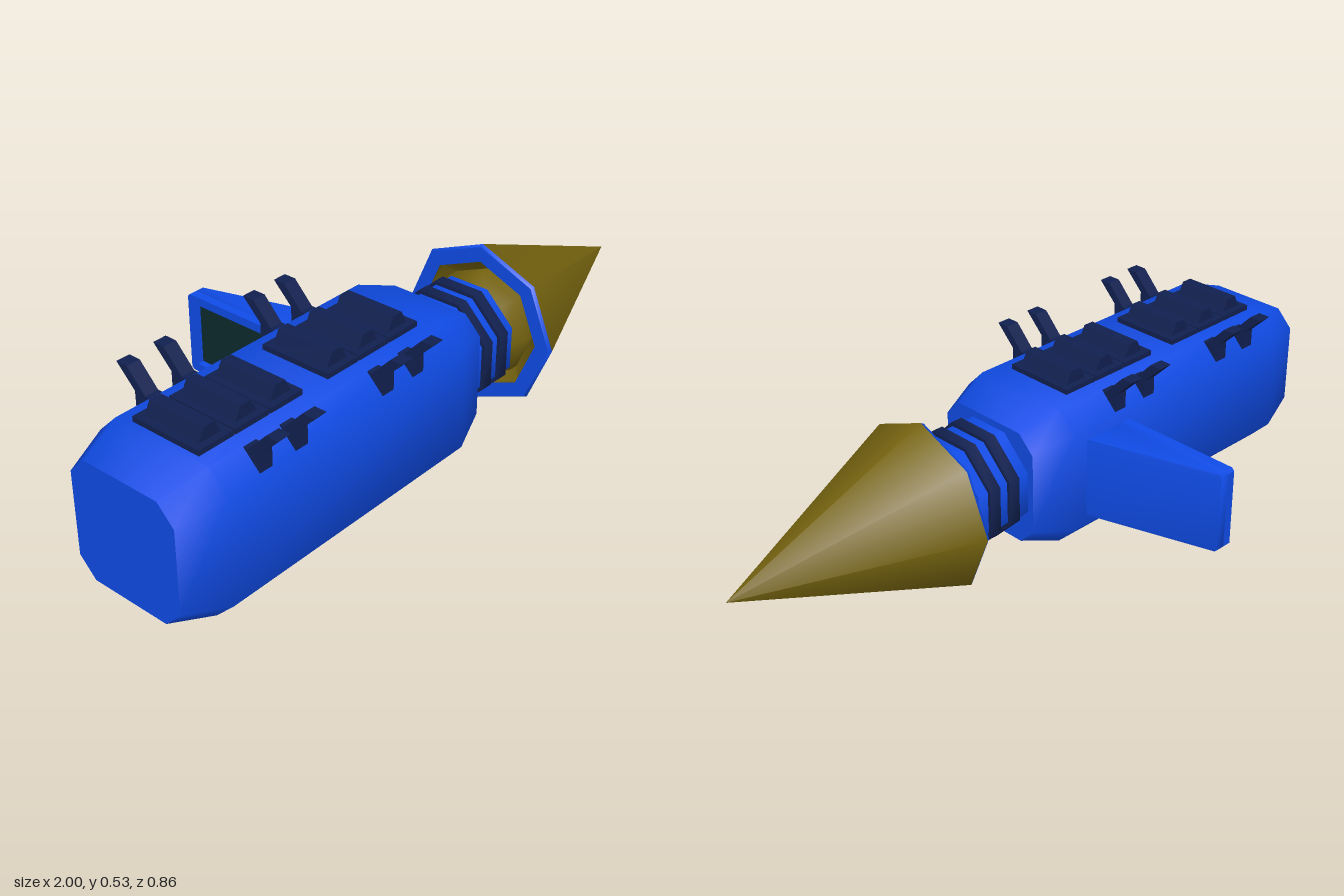
import * as THREE from 'three';
import { toCreasedNormals } from 'three/addons/utils/BufferGeometryUtils.js';

const CY = 0.254, CZ = 0.165; // long axis of the arm

const blue = new THREE.MeshStandardMaterial({ color: 0x0f4be6 });
const navy = new THREE.MeshStandardMaterial({ color: 0x11204f });
const gold = new THREE.MeshStandardMaterial({ color: 0x74620f });
const teal = new THREE.MeshStandardMaterial({ color: 0x0c2b2c });

// chamfered rectangle at x, counter-clockwise seen from +x
function section(x, z0, z1, y0, y1, c) {
  return [
    [z0, y0 + c], [z0, y1 - c], [z0 + c, y1], [z1 - c, y1],
    [z1, y1 - c], [z1, y0 + c], [z1 - c, y0], [z0 + c, y0],
  ].map(([z, y]) => [x, y, z]);
}
const axial = (x, r, c) => section(x, CZ - r, CZ + r, CY - r, CY + r, c);

// closed skin through sections ordered along +x
function loft(loops) {
  const n = loops[0].length, index = [], last = (loops.length - 1) * n;
  for (let s = 0; s < loops.length - 1; s++) {
    for (let i = 0; i < n; i++) {
      const j = (i + 1) % n, a = s * n, b = a + n;
      index.push(a + i, a + j, b + i, a + j, b + j, b + i);
    }
  }
  for (let i = 1; i < n - 1; i++) index.push(0, i + 1, i, last, last + i, last + i + 1);
  const g = new THREE.BufferGeometry();
  g.setAttribute('position', new THREE.Float32BufferAttribute(loops.flat(2), 3));
  g.setIndex(index);
  return toCreasedNormals(g, 0.9);
}

// eight-sided turned part about the long axis, points are [radius, x]
function turned(points) {
  const g = new THREE.LatheGeometry(points.map(([r, x]) => new THREE.Vector2(r, x)), 8);
  g.rotateZ(-Math.PI / 2).translate(0, CY, CZ);
  return toCreasedNormals(g, 0.9);
}

function polygon(points) {
  return new THREE.Shape(points.map(([a, b]) => new THREE.Vector2(a, b)));
}

// shape drawn in (z, y), extruded from x0 over the given width
function extrudeX(shape, x0, width) {
  const g = new THREE.ExtrudeGeometry(shape, { depth: width, bevelEnabled: false });
  return g.rotateY(-Math.PI / 2).translate(x0 + width, 0, 0);
}

export function createModel() {
  const model = new THREE.Group();
  model.name = 'drillArm';
  const add = (name, geometry, material, parent = model) => {
    const mesh = new THREE.Mesh(geometry, material);
    mesh.name = name;
    parent.add(mesh);
    return mesh;
  };

  // main housing with tapered ends
  add('housing', loft([
    axial(-1, 0.174, 0.052), axial(-0.87, 0.214, 0.06),
    axial(0, 0.214, 0.06), axial(0.12, 0.174, 0.052),
  ]), blue);

  // neck with two dark rings
  add('neck', loft([axial(0.1, 0.153, 0.09), axial(0.3, 0.153, 0.09)]), blue);
  for (const x of [0.16, 0.23]) {
    add('neckRing', loft([axial(x, 0.163, 0.095), axial(x + 0.036, 0.163, 0.095)]), navy);
  }

  // drill: collar, hollow back, rim and cone
  const drill = new THREE.Group();
  drill.name = 'drill';
  model.add(drill);
  add('drillCollar', turned([[0.14, 0.29], [0.162, 0.36], [0.162, 0.44]]), gold, drill);
  add('drillRecess', turned([[0.13, 0.42], [0.2, 0.36], [0.2, 0.348]]), gold, drill);
  add('drillRim', turned([[0.2, 0.348], [0.246, 0.348], [0.252, 0.358]]), blue, drill);
  add('drillCone', turned([[0.252, 0.358], [0, 1]]), gold, drill);

  // rear fin: sloped wedge behind an open frame with a sunken panel
  const fin = new THREE.Group();
  fin.name = 'fin';
  model.add(fin);
  const y0 = 0.13, y1 = 0.376;
  add('finWedge', loft([
    section(-0.194, -0.43, 0.02, y0, y1, 0.008),
    section(-0.168, -0.43, 0.02, y0, y1, 0.008),
    section(-0.045, -0.035, 0.02, y0, y1, 0.008),
  ]), blue, fin);
  const frame = polygon([[-0.43, y0 + 0.008], [-0.422, y0], [0.02, y0], [0.02, y1], [-0.422, y1], [-0.43, y1 - 0.008]]);
  frame.holes.push(polygon([[-0.405, y0 + 0.025], [-0.07, y0 + 0.025], [-0.07, y1 - 0.025], [-0.405, y1 - 0.025]]));
  add('finFrame', extrudeX(frame, -0.22, 0.026), blue, fin);
  add('finPanel', new THREE.BoxGeometry(0.006, y1 - y0 - 0.05, 0.335)
    .translate(-0.196, (y0 + y1) / 2, -0.2375), teal, fin);

  // two rows of three ridged plates on top
  const ridge = polygon([[-0.037, 0.48], [0.037, 0.48], [0.017, 0.52], [-0.017, 0.52]]);
  for (const start of [-0.8, -0.363]) {
    for (let i = 0; i < 3; i++) {
      const x = start + i * 0.117;
      add('topPlate', new THREE.BoxGeometry(0.112, 0.03, 0.22).translate(x, 0.468, CZ), navy);
      add('topRidge', new THREE.ExtrudeGeometry(ridge, { depth: 0.18, bevelEnabled: false })
        .translate(x, 0, CZ - 0.09), navy);
    }
  }

  // bent brackets along both upper edges
  const profile = [[0.31, 0.41], [0.372, 0.41], [0.372, 0.468], [0.432, 0.528], [0.395, 0.528], [0.336, 0.466], [0.31, 0.466]];
  for (const x of [-0.74, -0.62, -0.305, -0.188]) {
    for (const side of [1, -1]) {
      const shape = polygon(profile.map(([z, y]) => [CZ + side * (z - CZ), y]));
      add('edgeBracket', extrudeX(shape, x - 0.021, 0.042), navy);
    }
  }
  return model;
}
